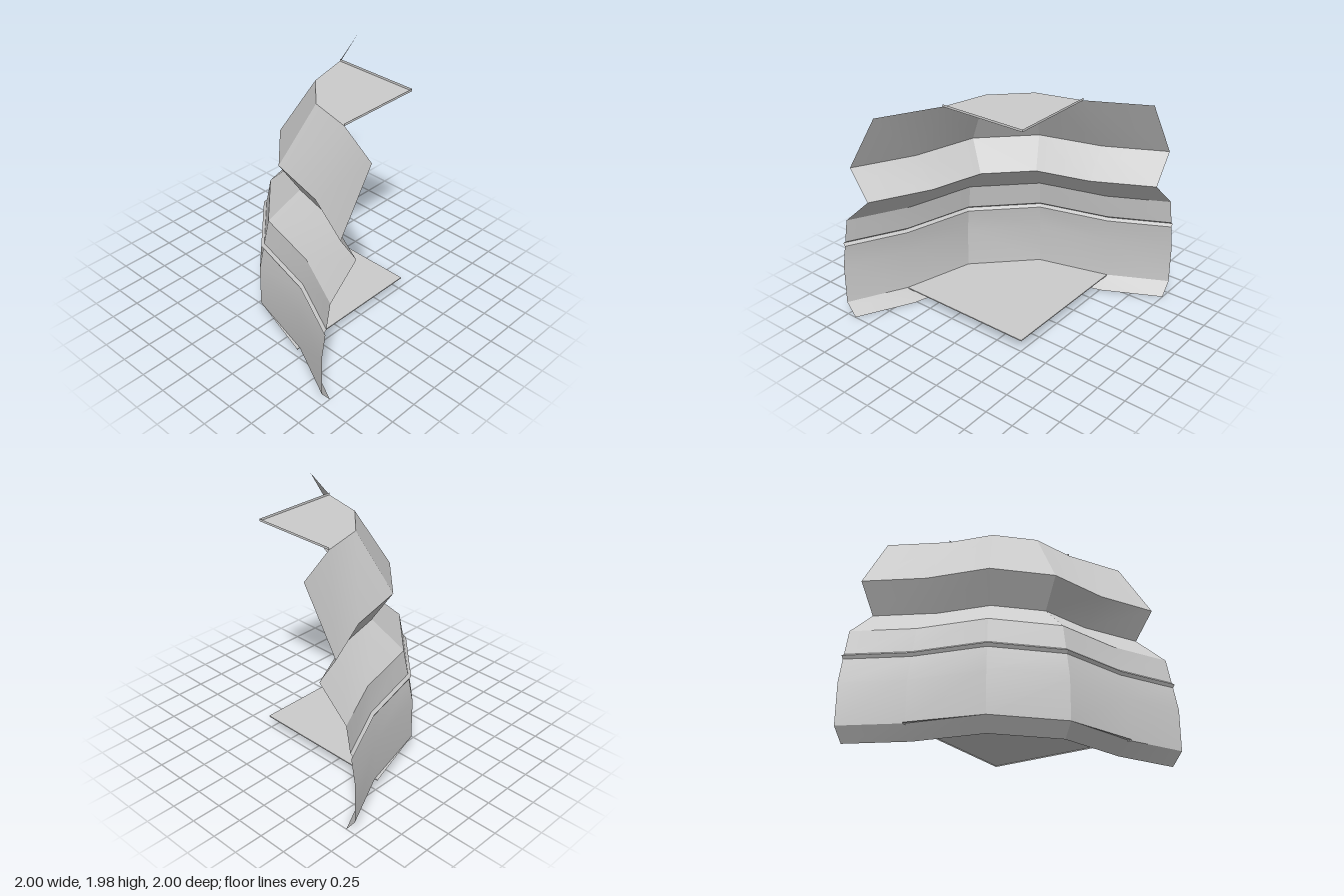
import * as THREE from 'three';
import { toCreasedNormals } from 'three/addons/utils/BufferGeometryUtils.js';

const material = new THREE.MeshStandardMaterial({ color: 0xcccccc, side: THREE.DoubleSide });

// Plan of the corner wall, as [x, z], set in by d from its widest line.
// The second half mirrors the first across the diagonal.
function plan(d) {
  const half = [
    [-1 + d, 1],
    [-0.75 + d, 0.51],
    [-0.585 + 0.87 * d, -0.12 + 0.49 * d],
  ];
  return [...half, ...half.map(([x, z]) => [z, x]).reverse()];
}

// Open sheet through rows of points, with creases kept sharp
function sheet(rows) {
  const position = [], index = [], n = rows[0].length;
  rows.forEach((row) => row.forEach((p) => position.push(...p)));
  for (let i = 0; i < rows.length - 1; i++) {
    for (let j = 0; j < n - 1; j++) {
      const a = i * n + j, b = a + 1, c = a + n, d = c + 1;
      index.push(a, c, b, b, c, d);
    }
  }
  const geometry = new THREE.BufferGeometry();
  geometry.setAttribute('position', new THREE.Float32BufferAttribute(position, 3));
  geometry.setIndex(index);
  return toCreasedNormals(geometry, 0.35);
}

function part(name, geometry) {
  const mesh = new THREE.Mesh(geometry, material);
  mesh.name = name;
  return mesh;
}

// Flat plate closing the wall on its inner side, with a thin rim on its two straight edges
function plate(name, d, y, rimY, overhang) {
  const group = new THREE.Group();
  group.name = name;
  const outline = plan(d).slice(1, 5);
  outline[0][0] -= overhang;
  outline[3][1] -= overhang;
  const corner = [0.51, 0.51];
  const shape = new THREE.Shape([...outline, corner].map(([x, z]) => new THREE.Vector2(x, -z)));
  const face = new THREE.ShapeGeometry(shape).rotateX(-Math.PI / 2).translate(0, y, 0);
  const edge = [outline[3], corner, outline[0]];
  const levels = [Math.min(y, rimY), Math.max(y, rimY)];
  const rim = sheet(levels.map((h) => edge.map(([x, z]) => [x, h, z])));
  group.add(part(name + 'Face', face), part(name + 'Rim', rim));
  return group;
}

export function createModel() {
  const model = new THREE.Group();
  model.name = 'cornerWall';

  // Wall profile, as [height, inset], with a narrow moulding at mid height
  const profile = [
    [0, 0.09], [0.12, 0], [0.48, 0], [0.69, 0.037],
    [0.717, 0.02], [0.737, 0.047],
    [0.955, 0.087], [1.205, 0.355], [1.46, 0.185], [1.96, 0.49],
  ];
  const rows = profile.map(([y, d]) => plan(d).map(([x, z]) => [x, y, z]));
  model.add(part('wall', sheet(rows)));

  // Floor and top plates
  model.add(plate('floorPlate', 0, 0.12, 0.11, 0.03));
  model.add(plate('topPlate', 0.49, 1.96, 1.98, 0));

  return model;
}
